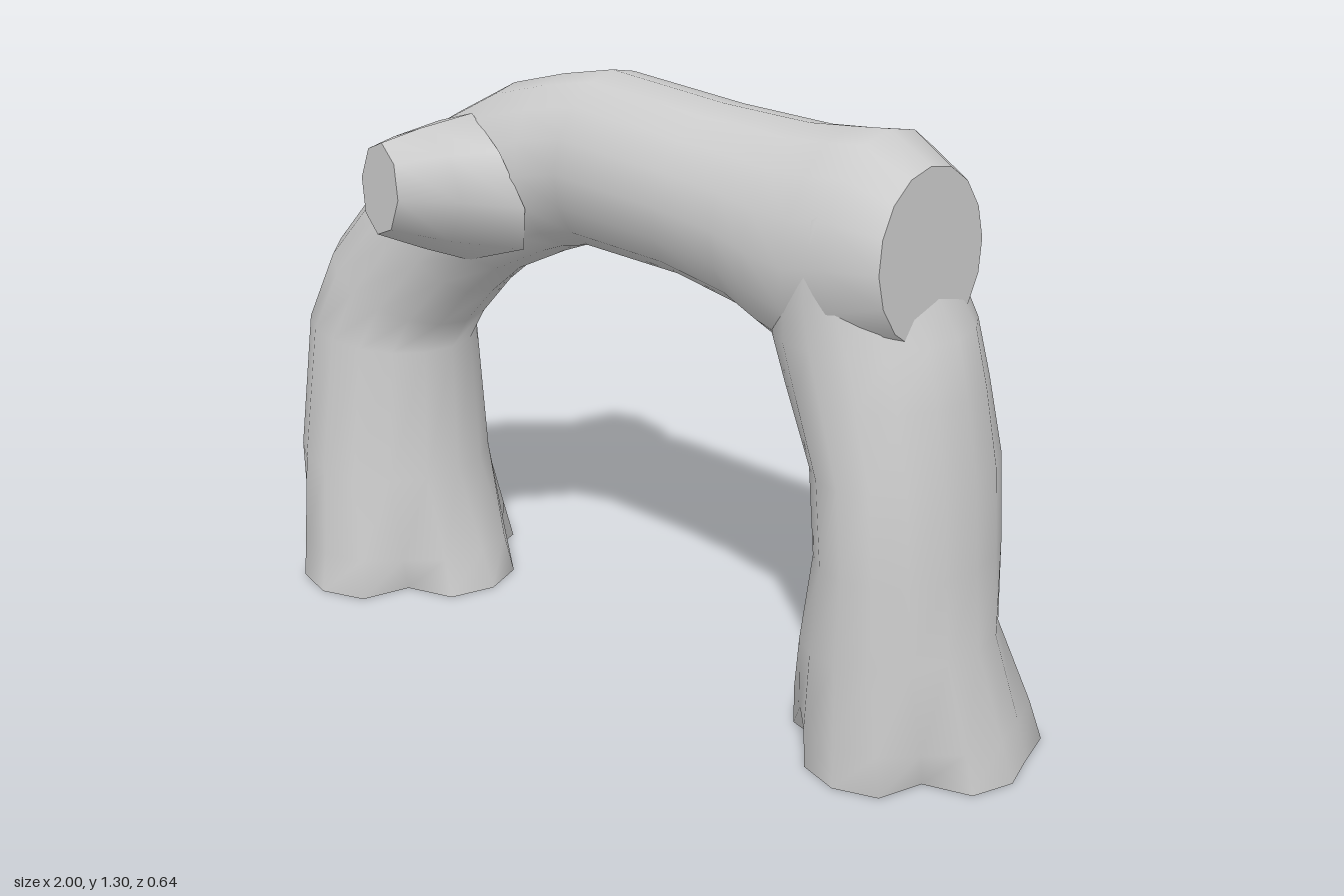
import * as THREE from 'three';

const bark = new THREE.MeshStandardMaterial({ color: 0xcccccc, side: THREE.DoubleSide });
const V = (x, y, z) => new THREE.Vector3(x, y, z);

// Ring of points around centre c, spanned by half axes u and w; scale(j) bends single spokes in or out
function ring(c, u, w, sides, scale = () => 1) {
  return Array.from({ length: sides }, (_, j) => {
    const a = (j / sides) * Math.PI * 2;
    return c.clone()
      .addScaledVector(u, Math.cos(a) * scale(j))
      .addScaledVector(w, Math.sin(a) * scale(j));
  });
}

function meshFrom(points, index, name) {
  const g = new THREE.BufferGeometry().setFromPoints(points);
  g.setIndex(index);
  g.computeVertexNormals();
  const m = new THREE.Mesh(g, bark);
  m.name = name;
  return m;
}

// Smooth skin through the rings, rings running along u x w
function skin(rings, name) {
  const n = rings[0].length, index = [];
  for (let i = 0; i < rings.length - 1; i++) {
    for (let j = 0; j < n; j++) {
      const a = i * n + j, b = i * n + ((j + 1) % n);
      index.push(a, b, b + n, a, b + n, a + n);
    }
  }
  return meshFrom(rings.flat(), index, name);
}

// Flat face closing the last ring
function cap(points, name) {
  const n = points.length, index = [];
  const centre = points.reduce((s, p) => s.add(p), V(0, 0, 0)).divideScalar(n);
  for (let j = 0; j < n; j++) index.push(n, j, (j + 1) % n);
  return meshFrom([...points, centre], index, name);
}

// Section of the trunk: two opposite edge points in the xy plane, and the z range
const SIDES = 16;
function section([x1, y1, x2, y2, z1, z2], scale) {
  return ring(
    V((x1 + x2) / 2, (y1 + y2) / 2, (z1 + z2) / 2),
    V((x1 - x2) / 2, (y1 - y2) / 2, 0),
    V(0, 0, (z2 - z1) / 2), SIDES, scale);
}

// Notches between the roots on the diagonals, one diagonal staying full
const roots = (full, depth) => j => {
  if (j % 4 === 2) return j === full ? 1.08 : 1 - depth;
  return j % 2 ? 1 - depth * 0.15 : 1;
};

function trunk(sections, fullSpoke) {
  return sections.map((s, i) =>
    section(s, i === 0 ? roots(fullSpoke, 0.32) : i === 1 ? roots(fullSpoke, 0.1) : undefined));
}

// Drops a stub's base ring onto the round trunk, whose axis runs through (x, y) at the given slope
function seat(points, x, y, slope, z, depth) {
  const across = V(-Math.sin(slope), Math.cos(slope), 0);
  for (const p of points) {
    const d = ((p.x - x) * across.x + (p.y - y) * across.y) / 0.2;
    p.z = z + depth * Math.sqrt(Math.max(0.04, 1 - d * d));
  }
  return points;
}

export function createModel() {
  const group = new THREE.Group();

  // Right-hand leg bending over into the beam, ending in a sawn face
  const arch = trunk([
    [-1.0, 0, -0.43, 0, -0.29, 0.28],
    [-0.985, 0.09, -0.46, 0.09, -0.26, 0.26],
    [-0.96, 0.3, -0.525, 0.28, -0.22, 0.235],
    [-0.945, 0.62, -0.55, 0.58, -0.2, 0.19],
    [-0.87, 0.8, -0.51, 0.65, -0.2, 0.17],
    [-0.67, 1.03, -0.43, 0.74, -0.2, 0.155],
    [-0.53, 1.14, -0.35, 0.81, -0.21, 0.15],
    [-0.37, 1.23, -0.22, 0.875, -0.23, 0.14],
    [-0.23, 1.27, -0.17, 0.895, -0.24, 0.13],
    [-0.09, 1.3, -0.1, 0.91, -0.235, 0.12],
    [0.22, 1.28, 0.16, 0.905, -0.235, 0.13],
    [0.36, 1.28, 0.34, 0.875, -0.235, 0.14],
    [0.45, 1.28, 0.43, 0.835, -0.24, 0.15],
    [0.55, 1.29, 0.54, 0.8, -0.255, 0.16],
    [0.64, 1.3, 0.66, 0.83, -0.265, 0.165],
    [0.755, 1.25, 0.775, 0.895, -0.2, 0.14],
  ], 14);
  group.add(skin(arch, 'archTrunk'));
  group.add(cap(arch[arch.length - 1], 'sawnBeamEnd'));

  // Other leg, rising into the beam and closing inside it
  const leg = trunk([
    [0.48, 0, 1.0, 0, -0.32, 0.2],
    [0.495, 0.09, 0.975, 0.09, -0.295, 0.195],
    [0.53, 0.25, 0.92, 0.28, -0.25, 0.185],
    [0.565, 0.45, 0.9, 0.45, -0.265, 0.185],
    [0.54, 0.63, 0.88, 0.63, -0.28, 0.175],
    [0.46, 0.79, 0.85, 0.79, -0.275, 0.165],
    [0.42, 0.88, 0.82, 0.91, -0.27, 0.16],
    [0.44, 0.97, 0.765, 0.99, -0.267, 0.16],
    [0.46, 1.06, 0.745, 1.06, -0.265, 0.16],
    [0.5, 1.15, 0.735, 1.15, -0.258, 0.15],
    [0.55, 1.23, 0.7, 1.23, -0.19, 0.09],
  ], 10);
  group.add(skin(leg, 'supportLeg'));

  // Front branch stub
  const front = [
    seat(ring(V(-0.385, 1.015, 0), V(0.205, 0, 0), V(0, 0.165, 0), 8), -0.4, 0.995, 0.5, -0.04, 0.18),
    ring(V(-0.415, 1.03, 0.2), V(0.145, 0, 0.02), V(0, 0.135, 0), 8),
    ring(V(-0.457, 1.04, 0.285), V(0.098, 0, 0.037), V(0, 0.1, -0.01), 8),
  ];
  // Short back branch stub
  const back = [
    seat(ring(V(-0.32, 1.06, 0), V(-0.18, 0, 0), V(0, 0.135, 0), 8), -0.3, 1.05, 0.4, -0.045, -0.185),
    ring(V(-0.32, 1.08, -0.262), V(-0.13, 0, 0), V(0, 0.108, -0.003), 8),
  ];
  for (const [rings, name] of [[front, 'frontStub'], [back, 'backStub']]) {
    group.add(skin(rings, name));
    group.add(cap(rings[rings.length - 1], name + 'Face'));
  }
  return group;
}
